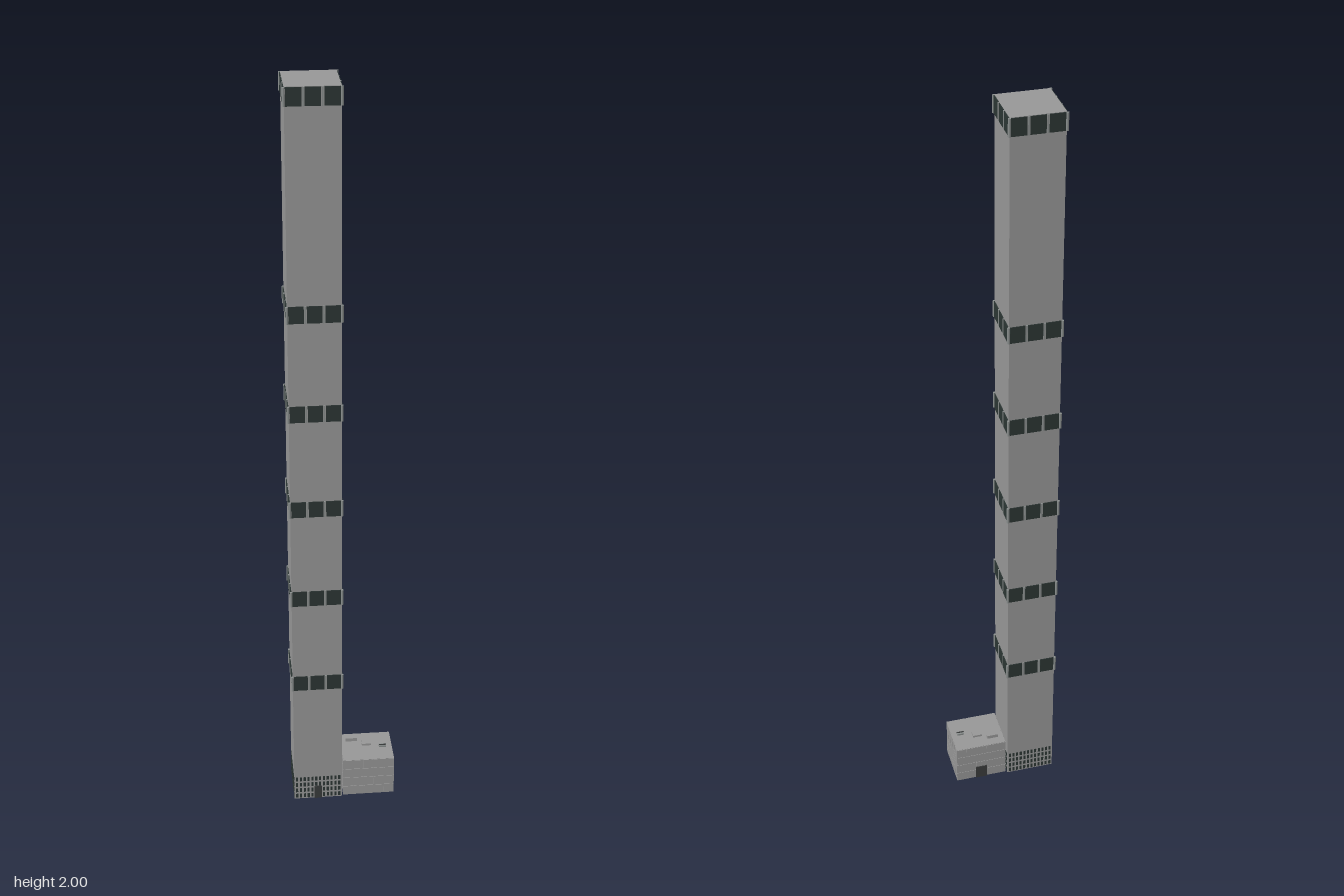
import * as THREE from 'three';

const mat = (name, color) => {
  const m = new THREE.MeshStandardMaterial({ color });
  m.name = name;
  return m;
};

export function createModel() {
  const concrete = mat('concrete grey', 0x989898);
  const trim = mat('trim grey', 0x8a8f8e);
  const glass = mat('dark glass', 0x2c3634);
  const dark = mat('dark metal', 0x3a3c3c);

  const model = new THREE.Group();
  model.name = 'towerBuilding';

  const box = (parent, name, material, w, h, d, x, y, z) => {
    const m = new THREE.Mesh(new THREE.BoxGeometry(w, h, d), material);
    m.name = name;
    m.position.set(x, y, z);
    parent.add(m);
    return m;
  };

  // Four facade groups whose local +z points outwards
  const facades = (parent, name, w, d, build) => {
    for (let i = 0; i < 4; i++) {
      const side = new THREE.Group();
      side.name = name + 'Side';
      side.rotation.y = (i * Math.PI) / 2;
      parent.add(side);
      build(side, i % 2 ? d : w, (i % 2 ? w : d) / 2);
    }
  };

  // Tower shaft
  const W = 0.131;
  const tower = new THREE.Group();
  tower.name = 'tower';
  tower.position.set(-0.0715, 0, -0.0015);
  model.add(tower);
  box(tower, 'shaft', concrete, W, 2, W, 0, 1, 0);

  // Window bands: three panes on every side, posts between them
  const pitch = 0.0443, bandH = 0.044;
  const bands = [0.385, 0.65, 0.915, 1.183, 1.447, 1.977];
  facades(tower, 'tower', W, W, (side, w, out) => {
    for (const y of bands) {
      for (let i = -1; i <= 1; i++) {
        box(side, 'windowPane', glass, 0.037, bandH, 0.003, i * pitch, y, out + 0.0006);
      }
      for (const i of [-0.5, 0.5]) {
        box(side, 'windowPost', trim, 0.004, bandH, 0.005, i * pitch, y, out + 0.0005);
      }
    }
    // Ground level glazing grid
    const cols = 12, rows = 4;
    for (let c = 0; c < cols; c++) {
      for (let r = 0; r < rows; r++) {
        box(side, 'groundWindow', glass, 0.0058, 0.0125, 0.002,
          (c - (cols - 1) / 2) * 0.0106, 0.01 + r * 0.0185, out);
      }
    }
  });

  // Round corner posts at each band
  const postGeo = new THREE.CylinderGeometry(0.0035, 0.0035, bandH, 10);
  for (const y of bands) {
    for (const sx of [-1, 1]) {
      for (const sz of [-1, 1]) {
        const p = new THREE.Mesh(postGeo, trim);
        p.name = 'cornerPost';
        p.position.set(sx * pitch * 1.5, y, sz * pitch * 1.5);
        tower.add(p);
      }
    }
  }

  // Main entrance
  box(tower, 'entranceDoor', dark, 0.02, 0.04, 0.004, 0, 0.02, W / 2 + 0.0005);

  // Low annex clad in panels with narrow joints
  const AW = 0.141, AD = 0.122, AH = 0.116;
  const annex = new THREE.Group();
  annex.name = 'annex';
  annex.position.set(0.0685, 0, -0.001);
  model.add(annex);
  box(annex, 'annexCore', concrete, AW - 0.003, AH, AD - 0.003, 0, AH / 2, 0);
  facades(annex, 'annex', AW, AD, (side, w, out) => {
    const cols = 5, rows = 4, pw = w / cols, ph = AH / rows;
    for (let c = 0; c < cols; c++) {
      for (let r = 0; r < rows; r++) {
        box(side, 'wallPanel', concrete, pw - 0.0012, ph - 0.0012, 0.0015,
          (c - (cols - 1) / 2) * pw, (r + 0.5) * ph, out - 0.00075);
      }
    }
  });
  box(annex, 'backDoor', dark, 0.032, 0.04, 0.003, 0, 0.02, -AD / 2 - 0.0005);

  // Rooftop units
  box(model, 'roofVent', concrete, 0.031, 0.01, 0.01, 0.029, AH + 0.005, -0.032);
  box(model, 'roofUnit', concrete, 0.025, 0.006, 0.018, 0.069, AH + 0.003, -0.013);
  box(model, 'roofHatch', trim, 0.02, 0.005, 0.011, 0.113, AH + 0.0025, 0.002);
  box(model, 'hatchGrille', dark, 0.02, 0.002, 0.003, 0.113, AH + 0.0055, 0.003);

  return model;
}
